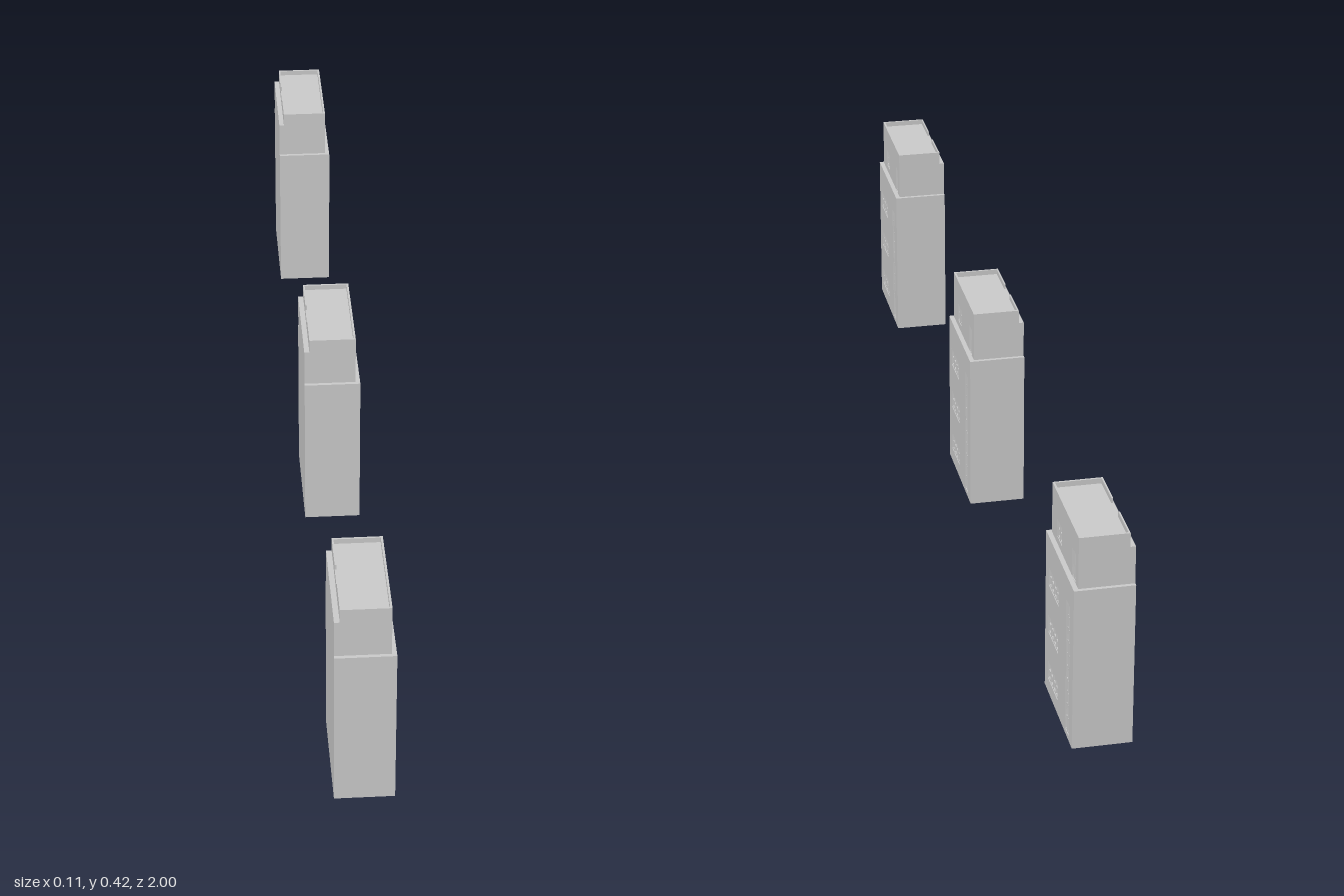
import * as THREE from 'three';

const material = new THREE.MeshStandardMaterial({ color: 0xcccccc, side: THREE.DoubleSide, flatShading: true });
const W = 0.055, D = 0.111, T = 0.004;          // half width, half depth, wall thickness
const STEP = 0.32, LEDGE = 0.393, TOP = 0.42;   // main heights
const UX = 0.046, UZ = 0.104;                   // upper block half sizes

function add(parent, name, geometry) {
  const mesh = new THREE.Mesh(geometry, material);
  mesh.name = name;
  parent.add(mesh);
  return mesh;
}

// Box given by its two opposite corners
function box(parent, name, x0, x1, y0, y1, z0, z1) {
  const mesh = add(parent, name, new THREE.BoxGeometry(x1 - x0, y1 - y0, z1 - z0));
  mesh.position.set((x0 + x1) / 2, (y0 + y1) / 2, (z0 + z1) / 2);
  return mesh;
}

function polygon(points, Kind = THREE.Shape) {
  return new Kind(points.map(([x, y]) => new THREE.Vector2(x, y)));
}

const rect = (a, b, c, d) => [[a, c], [b, c], [b, d], [a, d]];

// Pierced wall facing +x; openings are { z0, z1, y0, y1, cols, rows }
function facade(parent, name, x, halfDepth, y0, y1, openings) {
  const shape = polygon(rect(-halfDepth, halfDepth, y0, y1));
  for (const o of openings) shape.holes.push(polygon(rect(-o.z1, -o.z0, o.y0, o.y1), THREE.Path));
  const geometry = new THREE.ExtrudeGeometry(shape, { depth: T, bevelEnabled: false });
  geometry.rotateY(Math.PI / 2).translate(x - T, 0, 0);
  add(parent, name, geometry);

  for (const o of openings) {
    // Recessed glass with vertical and horizontal bars
    box(parent, 'glass', x - T - 0.001, x - T, o.y0, o.y1, o.z0, o.z1);
    const bar = 0.0015;
    for (let i = 0; i <= o.cols; i++) {
      const z = THREE.MathUtils.lerp(o.z0 + bar, o.z1 - bar, i / o.cols);
      box(parent, 'mullion', x - T, x - 0.001, o.y0, o.y1, z - bar, z + bar);
    }
    for (let j = 0; j <= o.rows; j++) {
      const y = THREE.MathUtils.lerp(o.y0 + bar, o.y1 - bar, j / o.rows);
      box(parent, 'transom', x - T, x - 0.0015, y - bar, y + bar, o.z0, o.z1);
    }
  }
}

function createTower() {
  const tower = new THREE.Group();

  // Lower storeys: three window groups and a tall stairwell strip
  const lower = new THREE.Group();
  lower.name = 'lowerStoreys';
  tower.add(lower);
  const openings = [{ z0: -0.083, z1: -0.057, y0: 0.01, y1: 0.272, cols: 2, rows: 10 }];
  for (let floor = 0; floor < 3; floor++) {
    const y = 0.028 + floor * 0.097;
    openings.push({ z0: 0.006, z1: 0.086, y0: y, y1: y + 0.036, cols: 4, rows: 2 });
  }
  facade(lower, 'windowWall', W, D, 0, STEP, openings);
  box(lower, 'plainWall', -W, -W + T, 0, STEP, -D, D);
  for (const s of [-1, 1]) {
    const z = s * (D - T / 2);
    box(lower, 'endWall', -W + T, W - T, 0, STEP, z - T / 2, z + T / 2);
  }
  box(lower, 'terrace', -W + T, W - T, STEP - T, STEP, -D + T, D - T);

  // Upper storey, set back on three sides
  const upper = new THREE.Group();
  upper.name = 'upperStorey';
  tower.add(upper);
  facade(upper, 'upperWindowWall', UX, UZ, STEP, TOP, [
    { z0: 0.025, z1: 0.061, y0: 0.334, y1: 0.369, cols: 2, rows: 2 },
    { z0: -0.083, z1: -0.057, y0: STEP + 0.001, y1: 0.376, cols: 2, rows: 1 },
  ]);
  const profile = [[-W, STEP], [UX - T, STEP], [UX - T, TOP], [-UX + 0.001, TOP], [-UX + 0.001, LEDGE], [-W, LEDGE]];
  for (const s of [-1, 1]) {
    const end = add(upper, 'upperEndWall',
      new THREE.ExtrudeGeometry(polygon(profile), { depth: T, bevelEnabled: false }));
    end.position.z = s > 0 ? UZ - T : -UZ;
  }
  const inner = UZ - T;
  box(upper, 'upperPlainWall', -W, -W + T, STEP, LEDGE, -inner, inner);
  box(upper, 'sideLedge', -W + T, -UX + T, LEDGE - T, LEDGE, -inner, inner);

  // Recessed roof and its parapet with a gap on the plain side
  box(upper, 'roof', -UX + 0.001, UX - T, 0.406, 0.41, -inner, inner);
  box(upper, 'setbackWall', -UX + 0.001, -UX + T, LEDGE, 0.406, -inner, inner);
  box(upper, 'parapet', -UX + 0.001, -UX + T, 0.41, TOP, -inner, -0.025);
  box(upper, 'parapet', -UX + 0.001, -UX + T, 0.41, TOP, 0.025, inner);
  return tower;
}

export function createModel() {
  const model = new THREE.Group();
  model.name = 'towerRow';
  [['frontTower', 0.889], ['middleTower', 0.034], ['backTower', -0.889]].forEach(([name, z]) => {
    const tower = createTower();
    tower.name = name;
    tower.position.z = z;
    model.add(tower);
  });
  return model;
}
